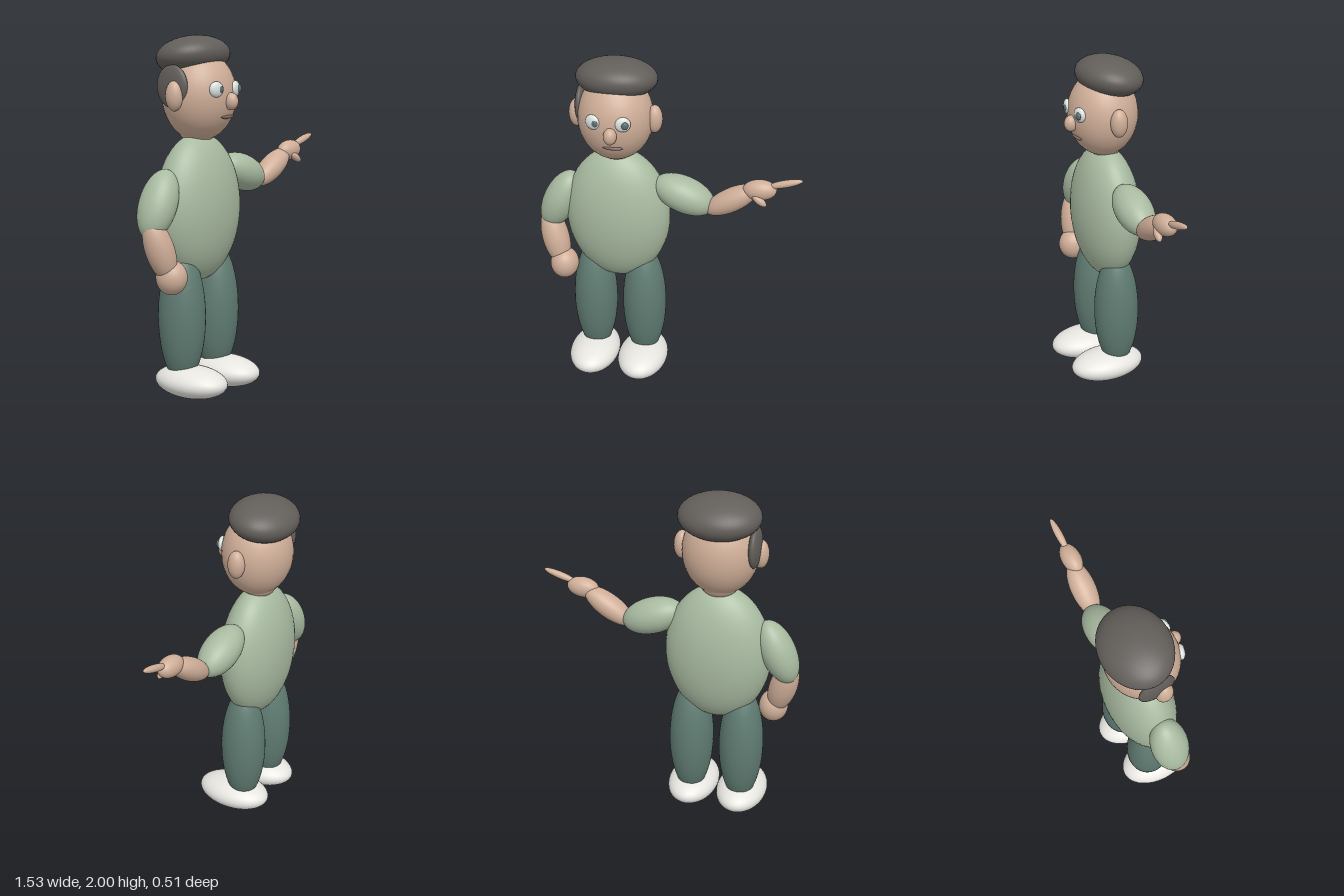
import * as THREE from 'three';

const mat = (color) => new THREE.MeshStandardMaterial({ color });
const SKIN = mat(0xcfae98), SHIRT = mat(0xa9bba1), TROUSERS = mat(0x5f7b72);
const SHOE = mat(0xe6e5e0), HAIR = mat(0x625e5a), WHITE = mat(0xdde3e0);
const IRIS = mat(0x5c6f70), LIP = mat(0x7d6a61);

const sphere = new THREE.SphereGeometry(1, 40, 28);

// Ellipsoid with its centre, radii and optional rotation
function blob(name, material, center, radii, rotation = [0, 0, 0]) {
  const mesh = new THREE.Mesh(sphere, material);
  mesh.name = name;
  mesh.position.set(...center);
  mesh.scale.set(...radii);
  mesh.rotation.set(...rotation);
  return mesh;
}

// Ellipsoid stretched between two end points
function limb(name, material, from, to, radius, depth = radius) {
  const a = new THREE.Vector3(...from), b = new THREE.Vector3(...to);
  const axis = b.clone().sub(a);
  const mid = a.clone().add(b).multiplyScalar(0.5);
  const mesh = blob(name, material, mid.toArray(), [radius, axis.length() / 2, depth]);
  mesh.quaternion.setFromUnitVectors(new THREE.Vector3(0, 1, 0), axis.normalize());
  return mesh;
}

export function createModel() {
  const model = new THREE.Group();
  model.name = 'pointingMan';
  const cx = -0.3; // the body's own centre line

  // Trunk and neck
  model.add(
    blob('torso', SHIRT, [cx, 1.05, -0.038], [0.307, 0.415, 0.183]),
    blob('neck', SKIN, [cx, 1.5, -0.04], [0.115, 0.1, 0.108]),
  );

  // Head, with hair cap and a lock over the right ear
  const head = new THREE.Group();
  head.name = 'head';
  head.add(
    blob('skull', SKIN, [cx, 1.67, -0.026], [0.214, 0.25, 0.203]),
    blob('hairCap', HAIR, [cx, 1.887, -0.068], [0.23, 0.112, 0.19], [-0.15, 0, 0]),
    blob('hairLock', HAIR, [-0.498, 1.725, -0.055], [0.033, 0.118, 0.105]),
    blob('nose', SKIN, [-0.283, 1.643, 0.182], [0.037, 0.048, 0.04]),
    blob('mouth', LIP, [-0.278, 1.558, 0.15], [0.058, 0.011, 0.015]),
  );
  for (const s of [-1, 1]) {
    const side = s > 0 ? 'left' : 'right';
    const eyeX = cx + s * 0.085;
    head.add(
      blob(side + 'Ear', SKIN, [cx + s * 0.222, 1.675, -0.022], [0.045, 0.082, 0.05]),
      blob(side + 'Eye', WHITE, [eyeX, 1.71, 0.158], [0.043, 0.043, 0.022], [0, s * 0.3, 0]),
      blob(side + 'Iris', IRIS, [eyeX + 0.015, 1.71, 0.174], [0.02, 0.022, 0.012], [0, s * 0.2, 0]),
    );
  }
  model.add(head);

  // Legs and shoes
  for (const s of [-1, 1]) {
    const side = s > 0 ? 'left' : 'right';
    const x = cx + s * 0.151;
    model.add(
      blob(side + 'Leg', TROUSERS, [x, 0.45, -0.036], [0.13, 0.38, 0.135]),
      blob(side + 'Shoe', SHOE, [x, 0.089, 0.028], [0.149, 0.089, 0.23]),
    );
  }

  // Right arm hanging at the side
  const rightArm = new THREE.Group();
  rightArm.name = 'rightArm';
  rightArm.add(
    limb('sleeve', SHIRT, [-0.56, 1.28, -0.04], [-0.73, 0.92, -0.035], 0.1, 0.108),
    limb('forearm', SKIN, [-0.725, 1.03, -0.03], [-0.63, 0.69, 0.03], 0.08),
    blob('hand', SKIN, [-0.62, 0.705, 0.033], [0.084, 0.095, 0.088]),
  );
  model.add(rightArm);

  // Left arm stretched out, pointing
  const leftArm = new THREE.Group();
  leftArm.name = 'leftArm';
  leftArm.add(
    limb('sleeve', SHIRT, [-0.085, 1.28, -0.032], [0.265, 1.145, -0.025], 0.104, 0.108),
    limb('forearm', SKIN, [0.22, 1.13, -0.01], [0.51, 1.31, 0], 0.068, 0.073),
    blob('hand', SKIN, [0.525, 1.31, 0.01], [0.096, 0.06, 0.056], [0, 0, 0.08]),
    limb('indexFinger', SKIN, [0.565, 1.335, 0.012], [0.763, 1.393, 0.013], 0.021, 0.022),
    limb('thumb', SKIN, [0.49, 1.295, 0.05], [0.57, 1.24, 0.062], 0.022),
  );
  model.add(leftArm);

  return model;
}
